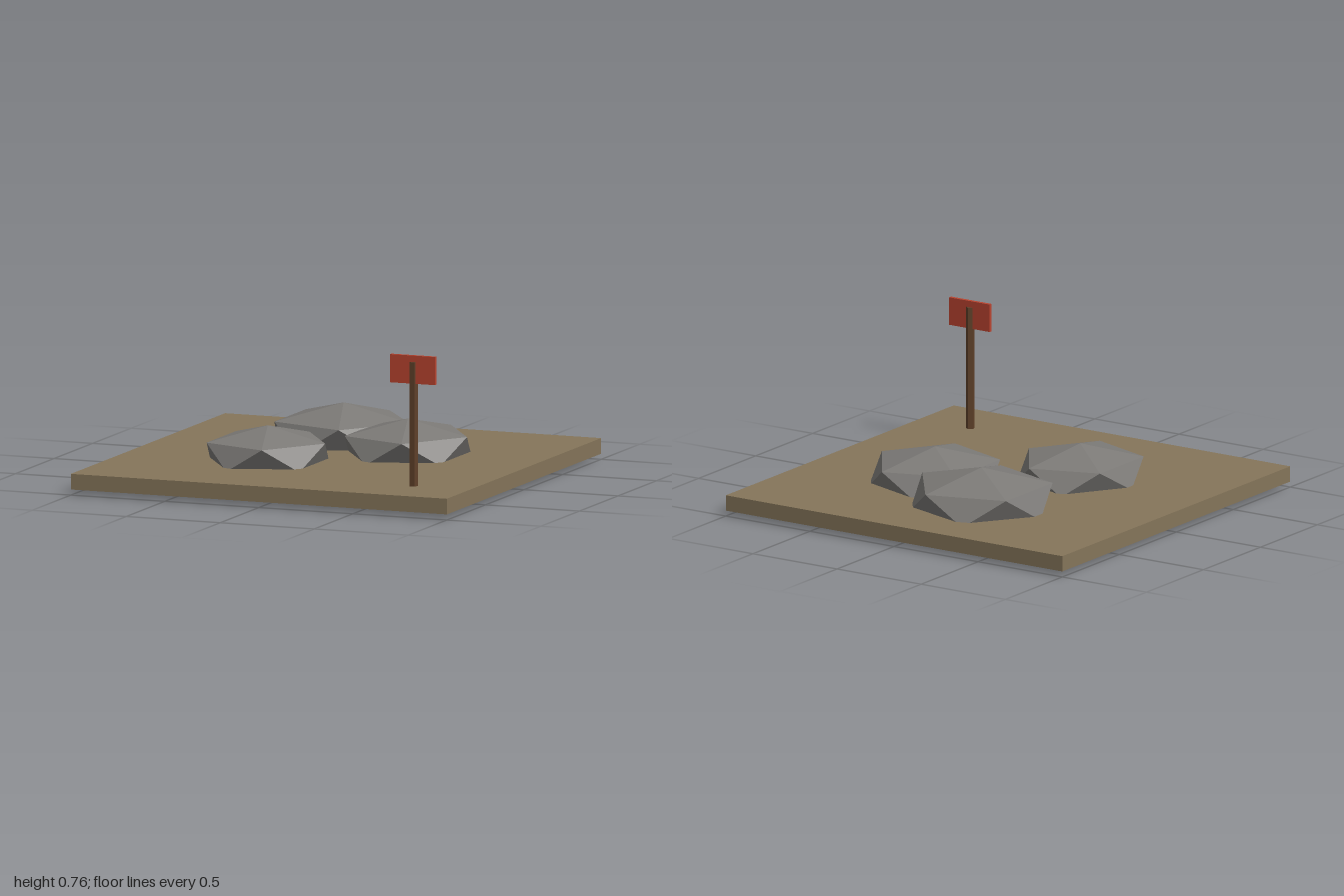
import * as THREE from 'three';

const mat = (name, color) => {
  const m = new THREE.MeshStandardMaterial({ color, flatShading: true });
  m.name = name;
  return m;
};

export function createModel() {
  const group = new THREE.Group();
  const earth = mat('earth brown', 0x85755a);
  const stone = mat('stone grey', 0x7c7a77);
  const wood = mat('dark wood', 0x5e4029);
  const red = mat('sign red', 0xb8432f);

  const add = (name, geometry, material, x, y, z) => {
    const mesh = new THREE.Mesh(geometry, material);
    mesh.name = name;
    mesh.position.set(x, y, z);
    group.add(mesh);
    return mesh;
  };

  // Ground slab
  add('ground', new THREE.BoxGeometry(2, 0.078, 2), earth, 0, 0.067, 0);

  // Squashed icosahedron boulders, one corner up and one upper corner towards +x
  const tilt = -Math.atan(2 / (1 + Math.sqrt(5)));
  const boulder = (name, x, z, rx, ry, rz) => {
    const geometry = new THREE.IcosahedronGeometry(1, 0).rotateZ(tilt).scale(rx, ry, rz);
    add(name, geometry, stone, x, 0.149, z);
  };
  boulder('backBoulder', -0.14, -0.44, 0.393, 0.149, 0.389);
  boulder('leftBoulder', 0.3, -0.2, 0.352, 0.132, 0.377);
  boulder('rightBoulder', -0.26, 0.25, 0.341, 0.132, 0.365);

  // Signpost: five-sided pole with a flat board
  const pole = new THREE.CylinderGeometry(0.0225, 0.0225, 0.697, 5).rotateY(Math.PI);
  add('signPole', pole, wood, 0.698, 0.3765, 0.7);
  add('signBoard', new THREE.BoxGeometry(0.24, 0.14, 0.018), red, 0.698, 0.687, 0.7);

  return group;
}
